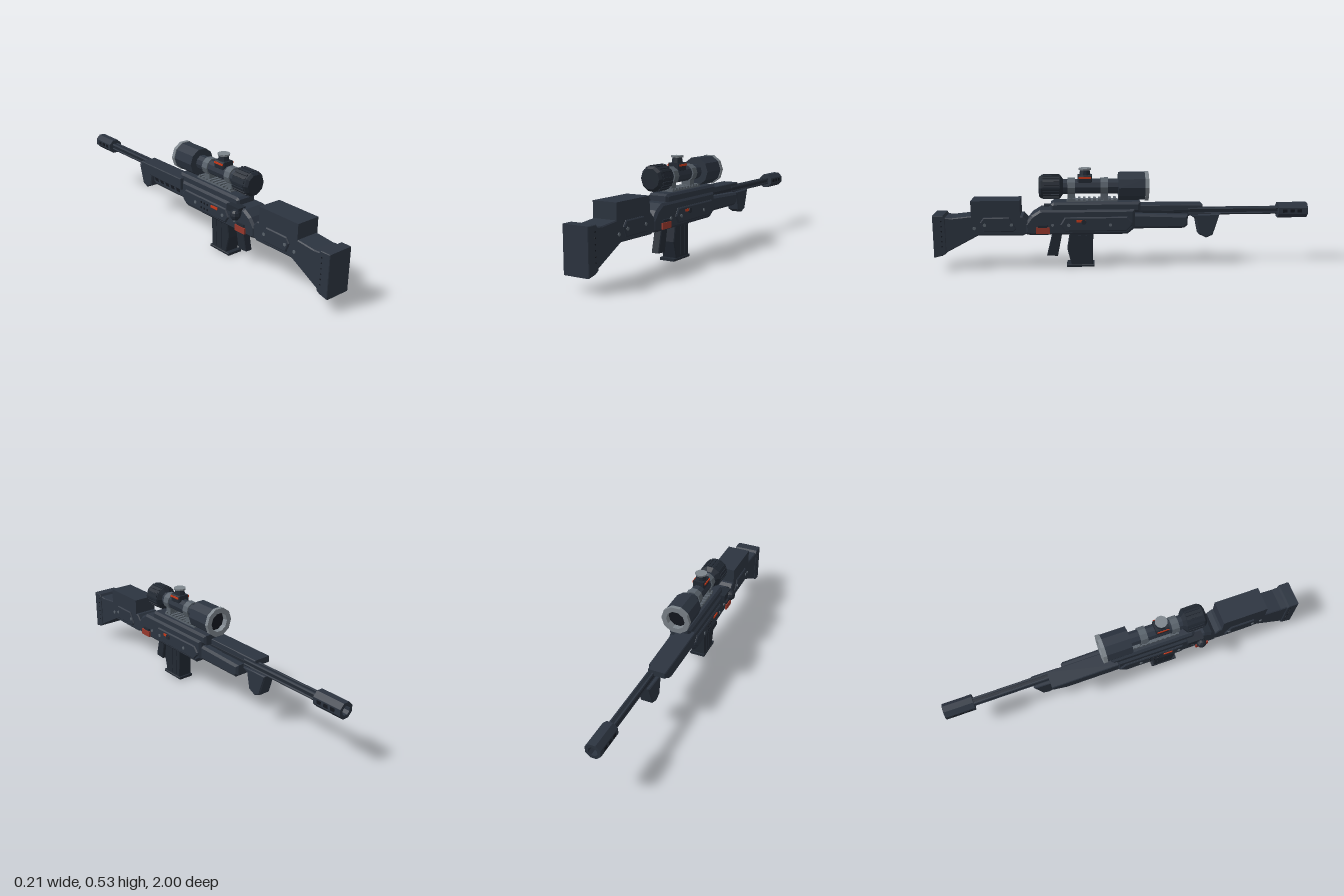
import * as THREE from 'three';

const mat = (name, color) => {
  const m = new THREE.MeshStandardMaterial({ color });
  m.name = name;
  return m;
};

export function createModel() {
  const body = mat('slate body', 0x2c3440);
  const dark = mat('dark slate', 0x222933);
  const black = mat('near black', 0x14181f);
  const grey = mat('mount grey', 0x59626b);
  const light = mat('light steel', 0x7d858c);
  const red = mat('dull red', 0x98382c);
  const orange = mat('bright red', 0xc93a1a);

  const root = new THREE.Group();
  root.name = 'rifle';
  const AX = 0.016; // the centre line in x
  const SCOPE_Y = 0.433;
  const BORE_Y = 0.293;

  const add = (name, geo, material, x = 0, y = 0, z = 0) => {
    const m = new THREE.Mesh(geo, material);
    m.name = name;
    m.position.set(x, y, z);
    root.add(m);
    return m;
  };
  const flat = (g) => {
    const f = g.index ? g.toNonIndexed() : g;
    f.computeVertexNormals();
    return f;
  };
  // side profile given as [z, y], spanning x0..x1, with chamfered edges
  const slab = (name, pts, x0, x1, material, bevel = 0) => {
    const s = new THREE.Shape(pts.map(([z, y]) => new THREE.Vector2(-z, y)));
    const g = new THREE.ExtrudeGeometry(s, {
      depth: x1 - x0 - 2 * bevel, bevelEnabled: bevel > 0, bevelThickness: bevel,
      bevelSize: bevel, bevelOffset: -bevel, bevelSegments: 1,
    });
    g.rotateY(Math.PI / 2).translate(x0 + bevel, 0, 0);
    return add(name, g, material);
  };
  const mid = (name, pts, half, material, bevel) => slab(name, pts, AX - half, AX + half, material, bevel);
  const rect = (z0, z1, y0, y1) => [[z0, y0], [z0, y1], [z1, y1], [z1, y0]];
  const sides = (fn) => [-1, 1].forEach(fn);
  // plate on one side, from half-width a to b
  const sidePlate = (name, pts, s, a, b, material, bevel) =>
    slab(name, pts, s > 0 ? AX + a : AX - b, s > 0 ? AX + b : AX - a, material, bevel);
  // faceted rod along z
  const rod = (name, r, z0, z1, y, n, material, x = AX) => {
    const g = new THREE.CylinderGeometry(r, r, Math.abs(z1 - z0), n).rotateY(Math.PI / n).rotateX(Math.PI / 2);
    return add(name, flat(g), material, x, y, (z0 + z1) / 2);
  };
  // faceted turned part along z, profile [radius, z] with z falling for outer faces
  const turned = (name, pts, y, n, material) => {
    const g = new THREE.LatheGeometry(pts.map(([r, z]) => new THREE.Vector2(r, -z)), n);
    return add(name, flat(g.rotateY(Math.PI / n).rotateX(-Math.PI / 2)), material, AX, y, 0);
  };
  const screw = (name, s, d, y, z, r, material) => {
    const g = new THREE.CylinderGeometry(r, r, 0.008, 8).rotateZ(Math.PI / 2);
    add(name, flat(g), material, AX + s * d, y, z);
  };

  // stock
  mid('stock', [[0.945, 0.283], [0.9, 0.28], [0.78, 0.292], [0.53, 0.286], [0.5, 0.25], [0.5, 0.2],
    [0.53, 0.183], [0.765, 0.186], [0.945, 0.09]], 0.066, body, 0.005);
  mid('buttPad', [[1, 0.07], [1, 0.295], [0.945, 0.295], [0.935, 0.28], [0.935, 0.092], [0.955, 0.08]], 0.071, body, 0.003);
  mid('cheekRest', rect(0.8, 0.545, 0.28, 0.37), 0.066, body);
  sides((s) => {
    sidePlate('stockPanel', [[0.755, 0.255], [0.735, 0.282], [0.6, 0.282], [0.565, 0.22], [0.58, 0.205], [0.735, 0.205]],
      s, 0.06, 0.074, body, 0.005);
    [[0.73, 0.243], [0.59, 0.243], [0.785, 0.225]].forEach(([z, y], i) =>
      screw('stockScrew', s, i < 2 ? 0.073 : 0.066, y, z, 0.009, grey));
    for (let i = 0; i < 6; i++) screw('buttPin', s, 0.068, 0.13 + i * 0.027, 0.955, 0.004, black);
  });

  // receiver
  mid('receiver', [[0.52, 0.19], [0.52, 0.245], [0.485, 0.29], [0.44, 0.318], [-0.06, 0.318], [-0.06, 0.215],
    [-0.02, 0.184], [0.49, 0.184]], 0.071, body, 0.012);
  mid('upperReceiver', [[0.385, 0.3], [0.385, 0.345], [0.37, 0.355], [-0.09, 0.355], [-0.09, 0.3]], 0.06, body, 0.012);
  sides((s) => {
    sidePlate('sidePanel', [[0.335, 0.24], [0.31, 0.28], [-0.02, 0.28], [-0.048, 0.25], [-0.048, 0.235],
      [-0.015, 0.203], [0.31, 0.203]], s, 0.065, 0.079, body, 0.006);
    sidePlate('redStripe', rect(0.25, 0.2, 0.253, 0.266), s, 0.077, 0.083, orange);
    sidePlate('redTab', rect(0.462, 0.39, 0.195, 0.227), s, 0.076, 0.085, red);
    sidePlate('tabHinge', rect(0.45, 0.4, 0.225, 0.24), s, 0.066, 0.08, dark);
    [0.29, 0.07].forEach((z) => screw('panelScrew', s, 0.079, 0.238, z, 0.009, grey));
    screw('receiverPin', s, 0.072, 0.238, 0.375, 0.008, grey);
  });
  screw('selectorKnob', 1, 0.082, 0.255, 0.21, 0.014, dark);
  for (let i = 0; i < 6; i++) screw('vent', -1, 0.077, 0.225 + (i % 2) * 0.03, 0.12 + Math.floor(i / 2) * 0.025, 0.006, black);

  // bolt handle
  add('boltArm', new THREE.BoxGeometry(0.05, 0.035, 0.09), dark, -0.05, 0.305, 0.38);
  add('boltKnob', flat(new THREE.SphereGeometry(0.028, 8, 6).scale(1, 1.05, 1)), dark, -0.082, 0.288, 0.41);

  // grip, magazine
  mid('grip', [[0.378, 0.19], [0.41, 0.06], [0.352, 0.056], [0.325, 0.19]], 0.022, dark, 0.004);
  mid('magazine', [[0.285, 0.19], [0.3, 0.1], [0.278, 0.01], [0.165, 0.01], [0.16, 0.19]], 0.042, dark, 0.004);
  mid('magazineBase', rect(0.303, 0.155, 0, 0.014), 0.045, dark, 0.003);
  sides((s) => [0.185, 0.225].forEach((z) =>
    sidePlate('magazineRib', rect(z + 0.018, z, 0.025, 0.175), s, 0.04, 0.045, dark)));

  // handguard, offset shroud and fore fin
  mid('handguard', [[-0.05, 0.21], [-0.05, 0.29], [-0.345, 0.28], [-0.345, 0.225], [-0.325, 0.21]], 0.06, body, 0.012);
  slab('barrelShroud', [[-0.06, 0.265], [-0.06, 0.33], [-0.43, 0.328], [-0.43, 0.295], [-0.35, 0.265]], -0.065, 0.032, body, 0.004);
  for (let i = 0; i < 5; i++) {
    const z = -0.09 - i * 0.05;
    slab('handguardVent', [[z, 0.238], [z - 0.012, 0.262], [z - 0.038, 0.262], [z - 0.026, 0.238]], -0.047, -0.043, black);
  }
  mid('foreFin', [[-0.36, 0.275], [-0.39, 0.255], [-0.408, 0.17], [-0.45, 0.15], [-0.485, 0.165], [-0.52, 0.28]], 0.036, body, 0.006);

  // fluted barrel and muzzle brake
  rod('barrelCore', 0.018, -0.05, -0.86, BORE_Y, 8, dark);
  for (let i = 0; i < 4; i++) {
    const a = Math.PI / 4 + i * Math.PI / 2;
    rod('barrelFlute', 0.008, -0.35, -0.85, BORE_Y + 0.017 * Math.sin(a), 6, body, AX + 0.017 * Math.cos(a));
  }
  turned('muzzleBrake', [[0.015, -0.84], [0.043, -0.84], [0.043, -1], [0.025, -1], [0.025, -0.9], [0, -0.9]], BORE_Y, 8, body);
  sides((s) => [-0.875, -0.915, -0.955].forEach((z) =>
    sidePlate('muzzlePort', rect(z + 0.012, z - 0.012, 0.284, 0.302), s, 0.037, 0.041, black)));

  // scope
  rod('scopeTube', 0.04, 0.33, 0.02, SCOPE_Y, 10, body);
  turned('objectiveBell', [[0.03, 0.025], [0.076, 0.025], [0.076, -0.118]], SCOPE_Y, 10, body);
  turned('objectiveRing', [[0.076, -0.115], [0.08, -0.115], [0.08, -0.135], [0.052, -0.135], [0.052, -0.1]], SCOPE_Y, 10, light);
  turned('objectiveLens', [[0.053, -0.105], [0, -0.105]], SCOPE_Y, 10, black);
  turned('eyepiece', [[0, 0.445], [0.052, 0.445], [0.064, 0.432], [0.064, 0.335], [0.04, 0.318], [0.03, 0.318]], SCOPE_Y, 10, dark);
  for (let i = 0; i < 20; i++) {
    const a = (i / 20) * Math.PI * 2;
    const m = add('eyepieceRidge', new THREE.BoxGeometry(0.007, 0.011, 0.085), dark,
      AX + Math.cos(a) * 0.063, SCOPE_Y + Math.sin(a) * 0.063, 0.381);
    m.rotation.z = a;
  }
  [0.275, 0.1].forEach((z) => {
    rod('scopeRing', 0.047, z + 0.02, z - 0.02, SCOPE_Y, 10, grey);
    mid('ringFoot', rect(z + 0.02, z - 0.02, 0.355, 0.4), 0.026, grey);
  });
  mid('mountRail', rect(0.3, 0.03, 0.35, 0.362), 0.034, grey);
  for (let i = 0; i < 10; i++) mid('railTooth', rect(0.295 - i * 0.027, 0.28 - i * 0.027, 0.36, 0.371), 0.034, grey);

  // turret
  mid('turretBase', rect(0.24, 0.165, 0.45, 0.495), 0.034, dark, 0.006);
  sides((s) => sidePlate('turretStripe', rect(0.235, 0.17, 0.478, 0.488), s, 0.033, 0.038, orange));
  add('turretNeck', flat(new THREE.CylinderGeometry(0.025, 0.03, 0.03, 10)), dark, AX, 0.508, 0.202);
  add('turretCap', flat(new THREE.CylinderGeometry(0.034, 0.032, 0.01, 10)), light, AX, 0.526, 0.202);

  return root;
}
